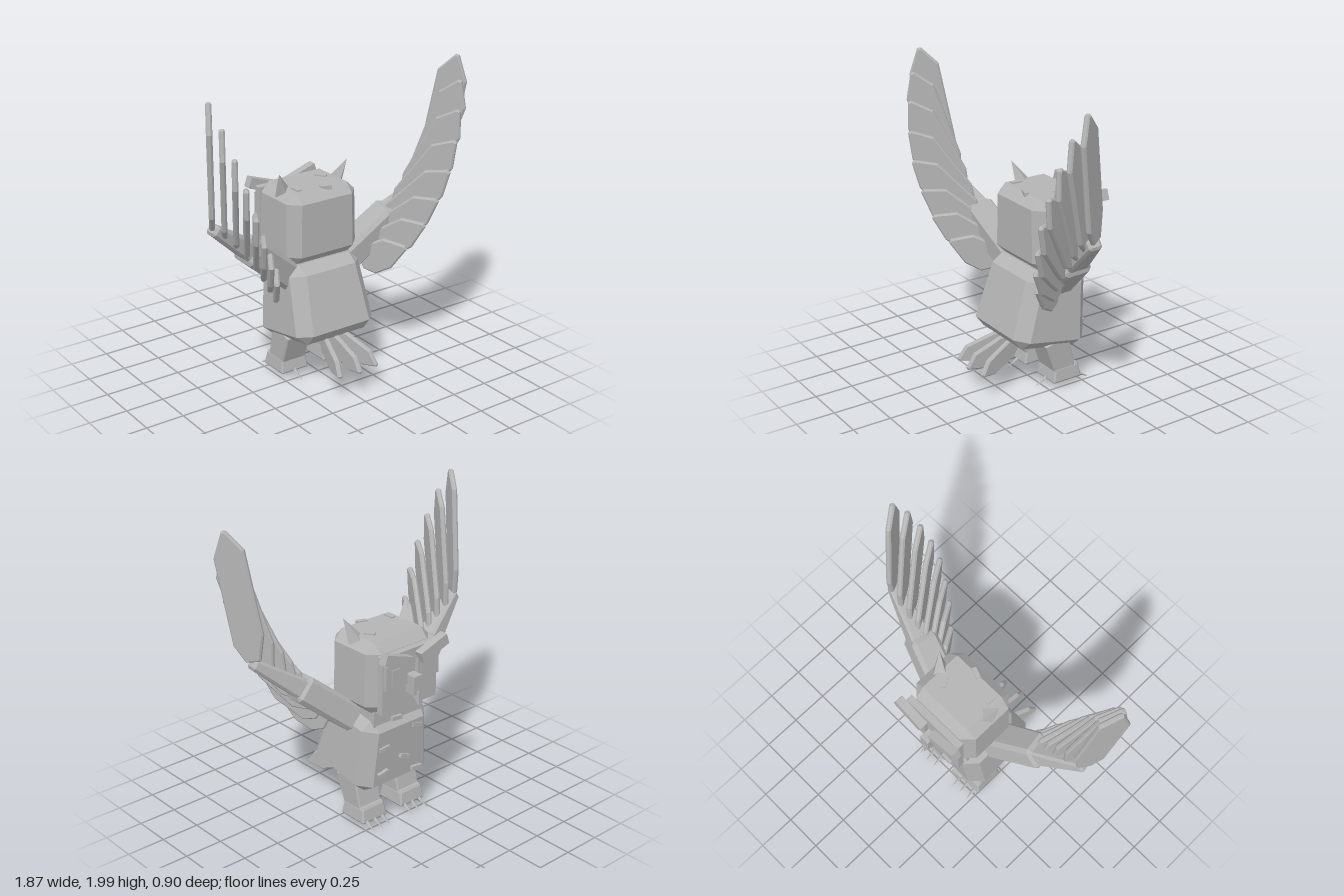
import * as THREE from 'three';

const V = (x, y, z) => new THREE.Vector3(x, y, z);
const grey = new THREE.MeshStandardMaterial({ color: 0xb4b4b4 });
grey.name = 'stone grey';

function add(parent, name, geometry) {
  const flat = geometry.index ? geometry.toNonIndexed() : geometry;
  flat.computeVertexNormals();
  const mesh = new THREE.Mesh(flat, grey);
  mesh.name = name;
  parent.add(mesh);
  return mesh;
}

// Stacked rings [y, halfX, halfZ] with cut corners, closed by rectangular ends
function blockGeometry(rings, cut) {
  const end = rings.length - 1;
  const loops = rings.map(([y, hx, hz], k) => {
    const c = k === 0 || k === end ? 0.002 : Math.min(cut, hx * 0.6, hz * 0.6);
    return [[hx, -hz + c], [hx, hz - c], [hx - c, hz], [c - hx, hz],
      [-hx, hz - c], [-hx, c - hz], [c - hx, -hz], [hx - c, -hz]].map(([x, z]) => V(x, y, z));
  });
  const pts = [];
  for (let i = 0; i < 8; i++) {
    const j = (i + 1) % 8;
    for (let k = 0; k < end; k++) {
      const p = loops[k], q = loops[k + 1];
      pts.push(p[i], q[i], p[j], p[j], q[i], q[j]);
    }
    pts.push(V(0, rings[0][0], 0), loops[0][i], loops[0][j]);
    pts.push(V(0, rings[end][0], 0), loops[end][j], loops[end][i]);
  }
  return new THREE.BufferGeometry().setFromPoints(pts);
}

// Place a mesh with its local y axis running from a to b
function aim(mesh, a, b) {
  const y = b.clone().sub(a).normalize();
  const x = y.clone().cross(V(0, 0, 1)).normalize();
  mesh.quaternion.setFromRotationMatrix(new THREE.Matrix4().makeBasis(x, y, x.clone().cross(y)));
  mesh.position.copy(a);
  return mesh;
}

// Tapered limb with bevelled ends
function beam(parent, name, a, b, [ax, az], [bx, bz], bevel = 0.025) {
  const L = a.distanceTo(b);
  const rings = [[0, ax - bevel, az - bevel], [bevel, ax, az], [L - bevel, bx, bz],
    [L, bx - bevel, bz - bevel]];
  return aim(add(parent, name, blockGeometry(rings, bevel)), a, b);
}

function spike(parent, name, a, b, r, sides = 4) {
  const L = a.distanceTo(b);
  return aim(add(parent, name, new THREE.ConeGeometry(r, L, sides).translate(0, L / 2, 0)), a, b);
}

function box(parent, name, [w, h, d], [x, y, z], [rx, ry, rz] = [0, 0, 0]) {
  const mesh = add(parent, name, new THREE.BoxGeometry(w, h, d));
  mesh.position.set(x, y, z);
  mesh.rotation.set(rx, ry, rz);
  return mesh;
}

// Pointed upright plate from root to tip
function feather(parent, name, root, tip, width) {
  const d = tip.clone().sub(root);
  const run = Math.hypot(d.x, d.z), L = d.length(), w = width / 2;
  const shape = new THREE.Shape([[-w * 0.45, 0], [w * 0.45, 0], [w, 0.1 * L + 0.03], [w * 0.95, L - w * 1.5],
    [w * 0.12, L], [-w * 0.12, L], [-w, L - w * 1.2], [-w, 0.2 * L]].map(p => new THREE.Vector2(...p)));
  const geo = new THREE.ExtrudeGeometry(shape, {
    depth: 0.016, bevelThickness: 0.009, bevelSize: 0.009, bevelOffset: -0.009, bevelSegments: 1,
  }).translate(0, 0, -0.008);
  const mesh = add(parent, name, geo);
  mesh.position.copy(root);
  mesh.rotation.set(0, Math.atan2(-d.z, d.x), -Math.atan2(run, d.y));
  return mesh;
}

function addWing(parent, s) {
  const wing = new THREE.Group();
  wing.name = s > 0 ? 'leftWing' : 'rightWing';
  parent.add(wing);
  beam(wing, 'upperArm', V(s * 0.2, 0.715, -0.055), V(s * 0.54, 1.0, 0.035), [0.088, 0.1], [0.085, 0.092]);
  beam(wing, 'forearm', V(s * 0.48, 0.95, 0.015), V(s * 0.82, 1.21, 0.1), [0.068, 0.075], [0.034, 0.042], 0.015);
  // Feather tips [z, y] from the outermost inwards
  const tips = [[0.22, 2.0], [0.295, 1.86], [0.345, 1.69], [0.38, 1.51], [0.392, 1.33], [0.37, 1.15],
    [0.335, 0.99], [0.265, 0.835]];
  tips.forEach(([z, y], i) => {
    const t = i / 7;
    const root = V(0.81 - 0.48 * t - 0.045 * Math.sin(Math.PI * t), 1.22 - 0.53 * t, 0.09 - 0.08 * t);
    const tip = V(root.x + (z - root.z) * 0.61, y, z);
    root.x *= s;
    tip.x *= s;
    feather(wing, 'wingFeather', root, tip, 0.2);
  });
}

function addLeg(parent, s) {
  const leg = new THREE.Group();
  leg.name = s > 0 ? 'leftLeg' : 'rightLeg';
  parent.add(leg);
  const x = s * 0.16;
  beam(leg, 'shin', V(x, 0.34, -0.055), V(x, 0.11, -0.125), [0.093, 0.088], [0.088, 0.075], 0.008);
  const foot = add(leg, 'foot', blockGeometry([[0.045, 0.095, 0.1], [0.055, 0.1, 0.105], [0.13, 0.09, 0.09],
    [0.145, 0.082, 0.08]], 0.01));
  foot.position.set(x, 0, -0.132);
  for (const k of [-1, 0, 1]) {
    spike(leg, 'frontClaw', V(x + k * 0.062, 0.06, -0.215), V(x + k * 0.066, 0.008, -0.315), 0.016);
  }
  spike(leg, 'backClaw', V(x, 0.06, -0.05), V(x, 0.008, 0.05), 0.016);
}

export function createModel() {
  const owl = new THREE.Group();
  owl.name = 'owl';

  // Body leans forward, towards -z
  const body = add(owl, 'body', blockGeometry([[0, 0.215, 0.195], [0.065, 0.29, 0.268], [0.435, 0.262, 0.222],
    [0.5, 0.19, 0.155]], 0.078));
  body.position.set(0, 0.295, 0);
  body.rotation.x = -0.187;
  box(owl, 'neck', [0.4, 0.1, 0.32], [0, 0.765, -0.11]);

  // Breast flecks [x, y, turn]
  for (const [x, y, turn] of [[0.04, 0.745, 0.1], [-0.13, 0.64, 0.25], [0.14, 0.565, -0.1],
    [-0.03, 0.455, 0.4], [0.15, 0.395, -0.2], [-0.13, 0.34, 0.1]]) {
    box(owl, 'breastFleck', [0.08, 0.026, 0.022], [x, y, -0.295], [0, 0, turn]);
  }

  // Head with crown flecks
  const head = add(owl, 'head', blockGeometry([[0.8, 0.19, 0.14], [0.87, 0.26, 0.208], [1.21, 0.253, 0.205],
    [1.27, 0.19, 0.145]], 0.068));
  head.position.z = -0.11;
  for (const [x, z, turn] of [[-0.15, -0.02, Math.PI / 2], [0.03, 0.035, -0.35], [0.12, -0.14, -1]]) {
    box(owl, 'crownFleck', [0.07, 0.025, 0.03], [x, 1.266, z], [0, turn, 0]);
  }

  // Face
  box(owl, 'faceDisc', [0.44, 0.37, 0.045], [0, 1.025, -0.342]);
  for (const s of [-1, 1]) {
    box(owl, 'eye', [0.17, 0.155, 0.03], [s * 0.128, 1.082, -0.375]);
    box(owl, 'pupil', [0.1, 0.1, 0.01], [s * 0.12, 1.08, -0.391]);
    box(owl, 'brow', [0.22, 0.07, 0.055], [s * 0.145, 1.193, -0.403], [0, 0, s * 0.33]);
    spike(owl, 'earTuft', V(s * 0.198, 1.24, -0.1), V(s * 0.252, 1.38, -0.05), 0.055);
  }
  box(owl, 'beak', [0.065, 0.12, 0.075], [0, 1.0, -0.4]);
  spike(owl, 'beakTip', V(0, 0.955, -0.415), V(0, 0.86, -0.445), 0.035);

  for (const s of [-1, 1]) {
    addWing(owl, s);
    addLeg(owl, s);
  }

  // Tail fan
  for (const k of [-1, 0, 1]) {
    feather(owl, 'tailFeather', V(k * 0.055, 0.3, 0.12), V(k * 0.14, 0.185, k ? 0.43 : 0.45), 0.13);
  }
  return owl;
}
